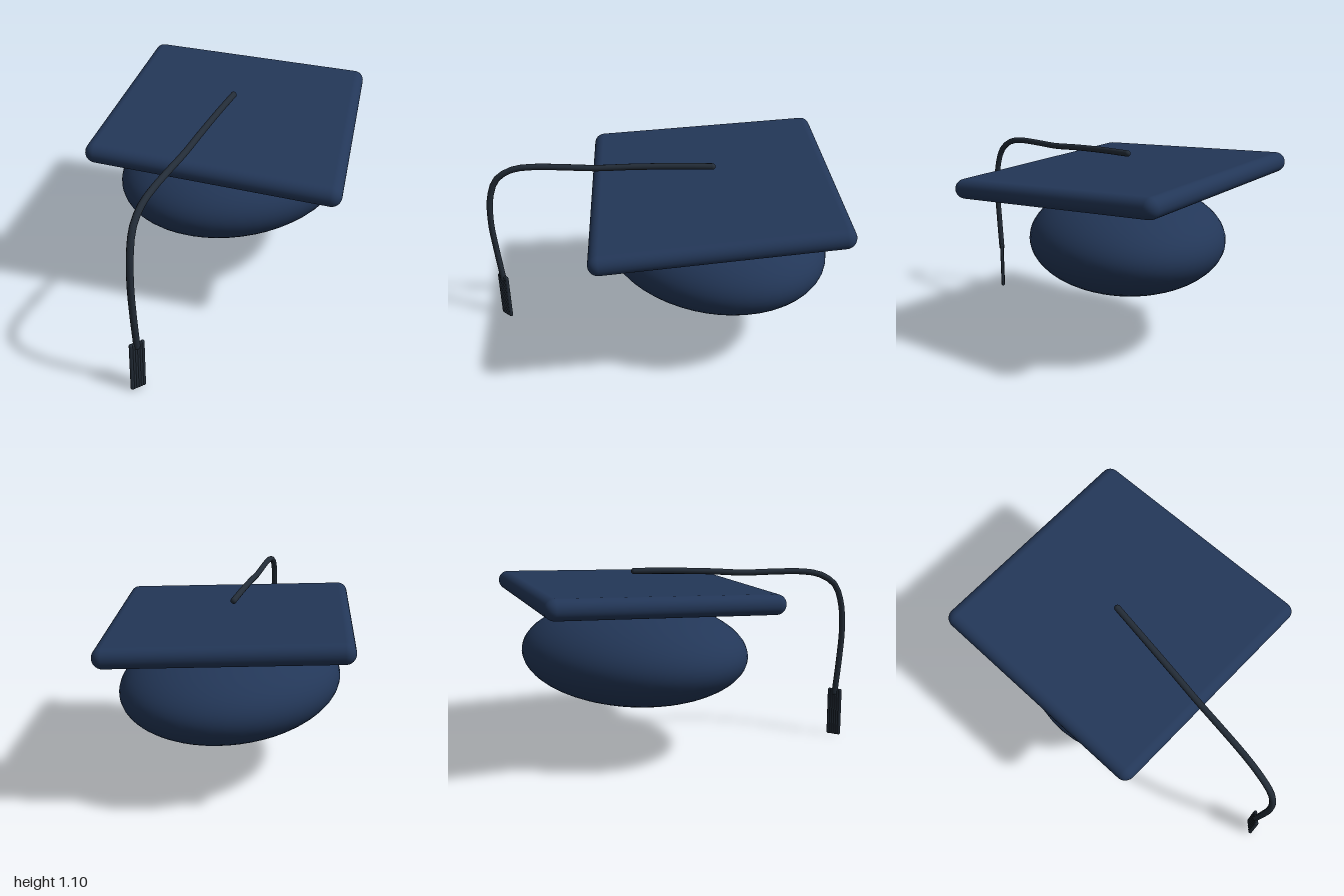
import * as THREE from 'three';
import { RoundedBoxGeometry } from 'three/addons/geometries/RoundedBoxGeometry.js';

export function createModel() {
  const group = new THREE.Group();
  const navy = new THREE.MeshStandardMaterial({ color: 0x233758 });
  navy.name = 'navy cloth';
  const dark = new THREE.MeshStandardMaterial({ color: 0x232c37 });
  dark.name = 'dark cord';

  const add = (name, geometry, material, parent = group) => {
    const mesh = new THREE.Mesh(geometry, material);
    mesh.name = name;
    parent.add(mesh);
    return mesh;
  };

  // Skull cap: a wide flattened ellipsoid
  const cap = add('skullCap', new THREE.SphereGeometry(1, 48, 32), navy);
  cap.scale.set(0.685, 0.293, 0.56);
  cap.position.set(0.085, 0.611, -0.03);

  // Square board with round edges, turned to a diamond, longer at the front
  const boardGeo = new RoundedBoxGeometry(1.326, 0.112, 1.326, 5, 0.055);
  boardGeo.rotateY(Math.PI / 4);
  const pos = boardGeo.attributes.position;
  for (let i = 0; i < pos.count; i++) {
    const z = pos.getZ(i);
    pos.setZ(i, z * (z > 0 ? 1.06 : 0.995));
  }
  boardGeo.rotateX(0.066);
  add('board', boardGeo, navy).position.set(0.085, 0.966, -0.035);

  // Cord from the board's centre, over the edge and down
  const cordPoints = [
    [0.075, 1.085, -0.033], [-0.1, 1.08, 0.095], [-0.3, 1.068, 0.242],
    [-0.45, 1.055, 0.352], [-0.62, 1.055, 0.477], [-0.75, 1.05, 0.572],
    [-0.84, 1.028, 0.636], [-0.915, 0.965, 0.693], [-0.952, 0.85, 0.725],
    [-0.966, 0.68, 0.736], [-0.961, 0.5, 0.73], [-0.948, 0.28, 0.72],
  ].map((p) => new THREE.Vector3(...p));
  const cordCurve = new THREE.CatmullRomCurve3(cordPoints);
  add('cord', new THREE.TubeGeometry(cordCurve, 36, 0.018, 10), dark);
  for (const p of [cordPoints[0], cordPoints.at(-1)]) {
    add('cordEnd', new THREE.SphereGeometry(0.018, 12, 8), dark).position.copy(p);
  }

  // Tassel: a flat row of hanging strands
  const tassel = new THREE.Group();
  tassel.name = 'tassel';
  group.add(tassel);
  for (let i = 0; i < 6; i++) {
    const strand = add('strand', new THREE.CapsuleGeometry(0.011, 0.278, 3, 8), dark, tassel);
    strand.position.set(-0.984 + i * 0.0128, 0.155, 0.72);
    strand.rotation.z = -0.025;
  }

  return group;
}
